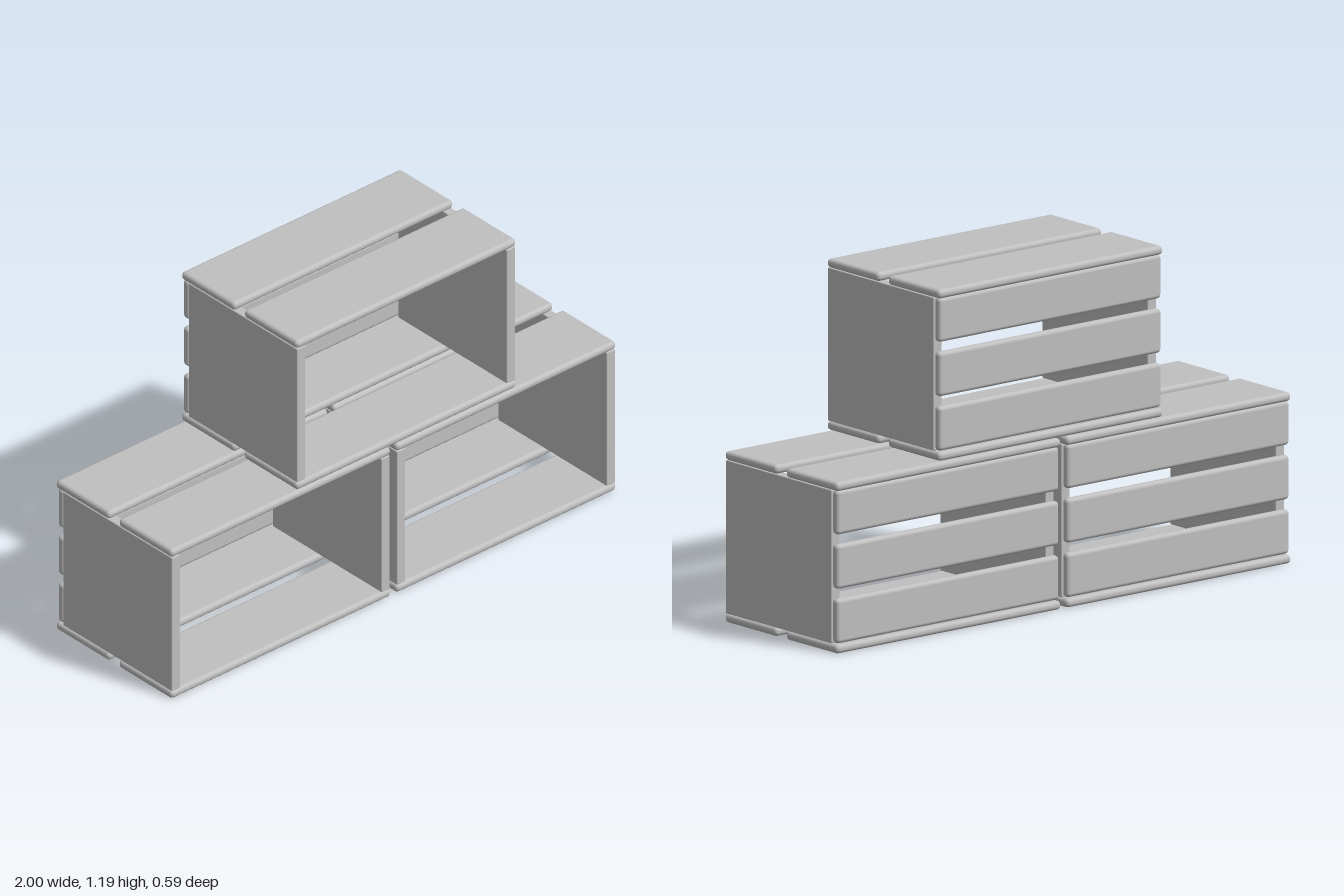
import * as THREE from 'three';
import { RoundedBoxGeometry } from 'three/addons/geometries/RoundedBoxGeometry.js';

const board = new THREE.MeshStandardMaterial({ color: 0xc0c0c0 });
board.name = 'grey board';

// Rounded board given by its lower and upper corners
function addBoard(group, name, [x0, y0, z0], [x1, y1, z1], radius) {
  const geometry = new RoundedBoxGeometry(x1 - x0, y1 - y0, z1 - z0, 3, radius);
  const mesh = new THREE.Mesh(geometry, board);
  mesh.name = name;
  mesh.position.set((x0 + x1) / 2, (y0 + y1) / 2, (z0 + z1) / 2);
  group.add(mesh);
}

// Open-fronted slatted crate standing on y = 0
function createCrate(name) {
  const crate = new THREE.Group();
  crate.name = name;
  const half = 0.494, height = 0.595, thick = 0.031;

  // Two floor slats and two top slats with a gap between
  for (const [label, y] of [['floorSlat', 0], ['topSlat', height - thick]]) {
    for (const [z0, z1] of [[0.024, 0.297], [-0.297, -0.024]]) {
      addBoard(crate, label, [-half, y, z0], [half, y + thick, z1], 0.014);
    }
  }

  // Solid side panels
  for (const side of [-1, 1]) {
    const x = side * 0.471;
    addBoard(crate, side < 0 ? 'rightPanel' : 'leftPanel',
      [x - 0.019, thick, -0.262], [x + 0.019, height - thick, 0.294], 0.004);
  }

  // Three slats across the back
  for (let i = 0; i < 3; i++) {
    const y = 0.034 + i * 0.189;
    addBoard(crate, 'backSlat', [-0.489, y, -0.293], [0.489, y + 0.154, -0.262], 0.014);
  }
  return crate;
}

export function createModel() {
  const model = new THREE.Group();
  model.name = 'stackedCrates';
  // Two crates side by side with a third on top
  const places = [
    ['lowerRightCrate', -0.506, 0],
    ['lowerLeftCrate', 0.506, 0],
    ['upperCrate', 0.057, 0.598],
  ];
  for (const [name, x, y] of places) {
    const crate = createCrate(name);
    crate.position.set(x, y, 0);
    model.add(crate);
  }
  return model;
}
